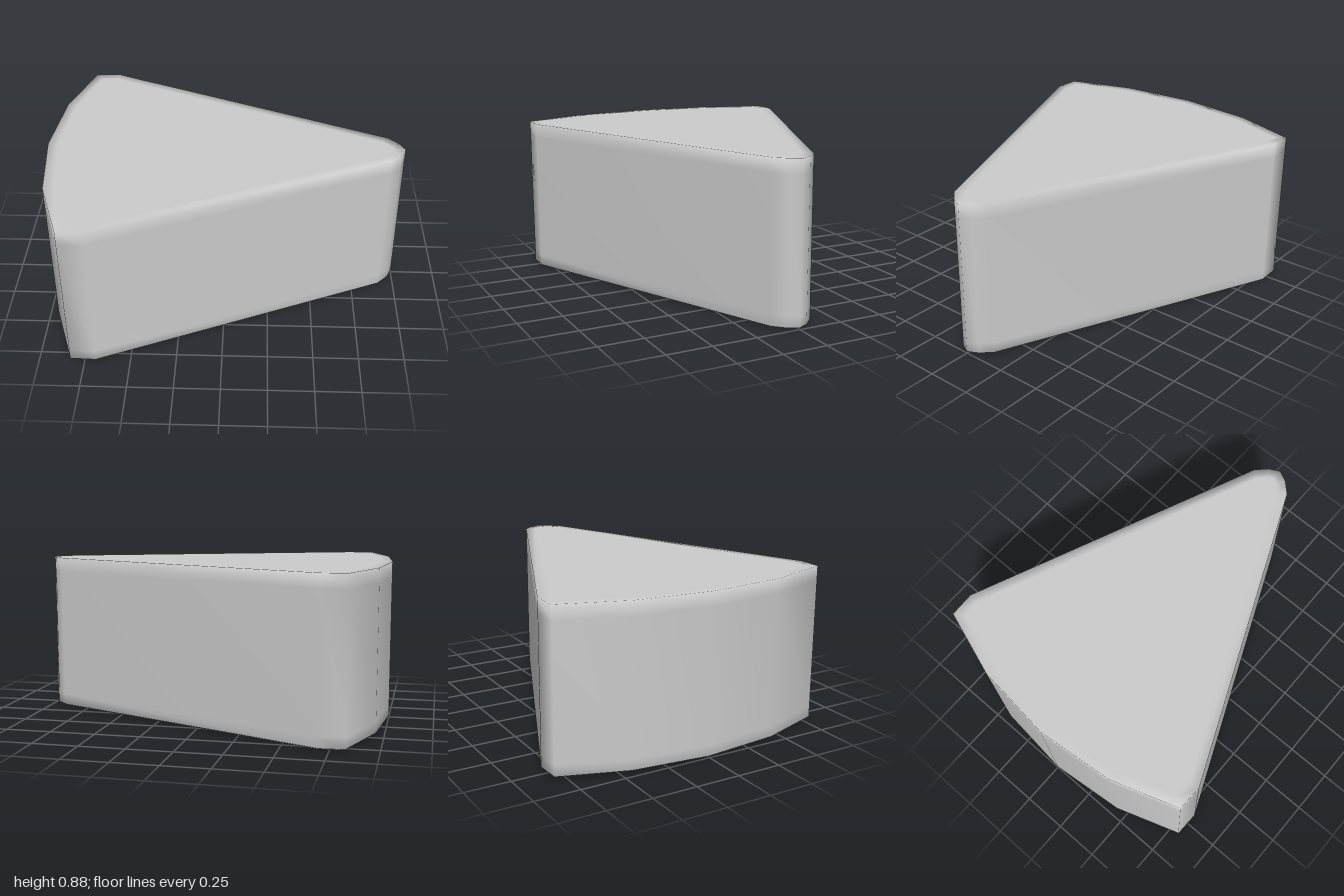
import * as THREE from 'three';

// One half of the wedge outline [x, z], from the rounded tip to the middle of the curved back
const HALF = [[1, 0], [0.97, 0.06], [0.91, 0.12], [-0.69, 0.81], [-0.83, 0.805], [-0.955, 0.435], [-1, 0]];
const HEIGHT = 0.885;

function mirroredOutline() {
  const other = HALF.slice(1, -1).reverse().map(([x, z]) => [x, -z]);
  return [...HALF, ...other].map(([x, z]) => new THREE.Vector2(x, z));
}

// Move every edge of the outline inward by d, with mitred corners
function inset(points, d) {
  const n = points.length;
  const inward = (a, b) => {
    const e = b.clone().sub(a).normalize();
    return new THREE.Vector2(-e.y, e.x);
  };
  return points.map((p, i) => {
    const n1 = inward(points[(i + n - 1) % n], p);
    const n2 = inward(p, points[(i + 1) % n]);
    const m = n1.clone().add(n2);
    return p.clone().addScaledVector(m, d / (1 + n1.dot(n2)));
  });
}

// Skin stacked rings, closed at both ends by rings shrunk to a point
function wedgeGeometry() {
  const outline = mirroredOutline();
  const n = outline.length;
  const centre = outline.map(() => new THREE.Vector2(-0.3, 0));
  const rings = [
    [centre, 0],
    [inset(outline, 0.02), 0],
    [outline, 0.01],
    [outline, 0.07],
    [outline, HEIGHT - 0.08],
    [outline, HEIGHT],
    [inset(outline, 0.055), HEIGHT],
    [centre, HEIGHT],
  ];
  const positions = [];
  const index = [];
  rings.forEach(([points, y], r) => {
    points.forEach((p, i) => {
      positions.push(p.x, y, p.y);
      if (r === rings.length - 1) return;
      const a = r * n + i;
      const b = r * n + (i + 1) % n;
      const c = a + n;
      const d = b + n;
      if (r > 0) index.push(a, d, b);
      if (r < rings.length - 2) index.push(a, c, d);
    });
  });
  // Each cap triangle keeps its own centre vertex
  const geometry = new THREE.BufferGeometry();
  geometry.setAttribute('position', new THREE.Float32BufferAttribute(positions, 3));
  geometry.setIndex(index);
  geometry.computeVertexNormals();
  return geometry;
}

export function createModel() {
  const group = new THREE.Group();
  group.name = 'wedge';
  const body = new THREE.Mesh(wedgeGeometry(), new THREE.MeshStandardMaterial({ color: 0xcccccc }));
  body.name = 'wedgeBody';
  group.add(body);
  return group;
}
